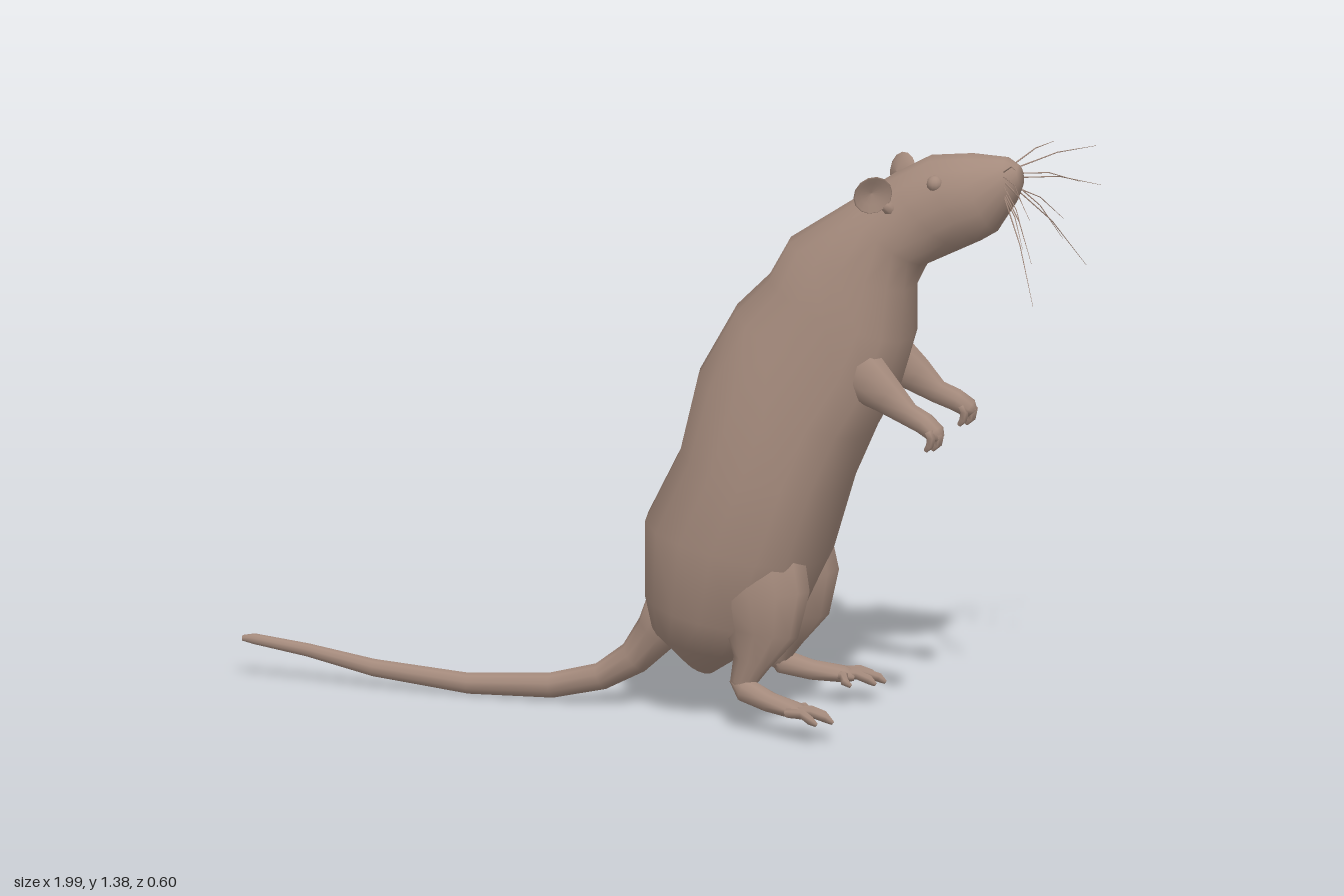
import * as THREE from 'three';

const V = (x, y, z) => new THREE.Vector3(x, y, z);

// Skin a series of rings { c: centre, a, b: half axes, q: below 1 squares the far side } with closed ends
function loft(rings, n) {
  const pos = [], idx = [];
  for (const { c, a, b, q = 1 } of rings) {
    for (let j = 0; j < n; j++) {
      const t = (j / n) * Math.PI * 2;
      const power = Math.cos(t) < -1e-6 ? q : 1;
      const round = v => Math.sign(v) * Math.abs(v) ** power;
      const p = c.clone().addScaledVector(a, round(Math.cos(t))).addScaledVector(b, round(Math.sin(t)));
      pos.push(p.x, p.y, p.z);
    }
  }
  const last = rings.length - 1;
  for (let i = 0; i < last; i++) {
    for (let j = 0; j < n; j++) {
      const k = (j + 1) % n, p = i * n, r = p + n;
      idx.push(p + j, p + k, r + j, p + k, r + k, r + j);
    }
  }
  const start = rings.length * n, end = start + 1;
  pos.push(...rings[0].c.toArray(), ...rings[last].c.toArray());
  for (let j = 0; j < n; j++) {
    const k = (j + 1) % n;
    idx.push(start, k, j, end, last * n + j, last * n + k);
  }
  const g = new THREE.BufferGeometry();
  g.setAttribute('position', new THREE.Float32BufferAttribute(pos, 3));
  g.setIndex(idx);
  g.computeVertexNormals();
  return g;
}

// Tapered limb through points [x, y, z, radius, sideways radius]; s mirrors it in z
function limb(points, s = 1, n = 10) {
  const c = points.map(p => V(p[0], p[1], p[2] * s));
  return loft(points.map((p, i) => {
    const t = c[Math.min(i + 1, c.length - 1)].clone().sub(c[Math.max(i - 1, 0)]).normalize();
    const b = V(0, 0, 1).addScaledVector(t, -t.z).normalize();
    const a = b.clone().cross(t);
    return { c: c[i], a: a.multiplyScalar(p[3]), b: b.multiplyScalar(p[4] ?? p[3]) };
  }), n);
}

export function createModel() {
  const root = new THREE.Group();
  const fur = new THREE.MeshStandardMaterial({ color: 0xa48a7c });
  fur.name = 'brownFur';
  const add = (name, geometry) => {
    const m = new THREE.Mesh(geometry, fur);
    m.name = name;
    root.add(m);
    return m;
  };

  // Body and head: back point, belly point, half width and belly squareness from rump to nose
  const sections = [
    [0.07, 0.14, 0.14, 0.098, 0.05],
    [0.00, 0.21, 0.22, 0.15, 0.125],
    [-0.015, 0.29, 0.34, 0.225, 0.185, 0.85],
    [-0.015, 0.47, 0.415, 0.39, 0.21, 0.75],
    [0.07, 0.64, 0.47, 0.57, 0.205, 0.8],
    [0.11, 0.82, 0.53, 0.70, 0.185, 0.8],
    [0.20, 0.98, 0.585, 0.80, 0.165, 0.75],
    [0.28, 1.06, 0.625, 0.93, 0.148, 0.8],
    [0.33, 1.15, 0.63, 1.05, 0.13, 0.9],
    [0.48, 1.25, 0.66, 1.11, 0.105],
    [0.58, 1.32, 0.75, 1.155, 0.097],
    [0.67, 1.37, 0.79, 1.175, 0.093],
    [0.76, 1.38, 0.83, 1.20, 0.08],
    [0.85, 1.377, 0.875, 1.27, 0.05],
    [0.88, 1.36, 0.89, 1.31, 0.025],
  ];
  add('bodyAndHead', loft(sections.map(([bx, by, fx, fy, w, q]) => ({
    c: V((bx + fx) / 2, (by + fy) / 2, 0),
    a: V((bx - fx) / 2, (by - fy) / 2, 0),
    b: V(0, 0, w),
    q,
  })), 16));

  // Tail
  add('tail', limb([
    [0.06, 0.27, 0, 0.075], [0.005, 0.185, 0, 0.052, 0.045], [-0.05, 0.12, 0, 0.04, 0.035],
    [-0.13, 0.07, 0, 0.032], [-0.25, 0.04, 0, 0.03], [-0.45, 0.03, 0, 0.025],
    [-0.68, 0.05, -0.002, 0.021], [-0.84, 0.08, -0.004, 0.016],
    [-0.97, 0.097, -0.005, 0.013], [-0.998, 0.097, -0.005, 0.007],
  ]));

  for (const s of [1, -1]) {
    const side = s > 0 ? 'Left' : 'Right';
    const both = (name, points, n) => add(name + side, limb(points, s, n));

    // Hind leg, foot and toes
    both('hindLeg', [
      [0.25, 0.52, 0.09, 0.08, 0.05], [0.27, 0.41, 0.105, 0.125, 0.075], [0.29, 0.32, 0.115, 0.122, 0.08],
      [0.295, 0.235, 0.122, 0.09, 0.06], [0.275, 0.165, 0.133, 0.045, 0.036],
      [0.255, 0.115, 0.138, 0.03, 0.026], [0.255, 0.09, 0.14, 0.015, 0.015],
    ], 12);
    both('hindFoot', [
      [0.235, 0.125, 0.135, 0.015], [0.265, 0.1, 0.145, 0.03, 0.027],
      [0.33, 0.08, 0.165, 0.024, 0.028], [0.40, 0.07, 0.187, 0.018, 0.036], [0.425, 0.066, 0.193, 0.01, 0.03],
    ]);
    for (const [x, z] of [[0.43, 0.145], [0.48, 0.178], [0.495, 0.207], [0.465, 0.238]]) {
      const z0 = 0.19 + (z - 0.19) * 0.5;
      both('toe', [
        [0.385, 0.07, z0, 0.011], [(0.39 + x) / 2, 0.072, (z0 + z) / 2, 0.012],
        [x - 0.015, 0.062, z, 0.011], [x, 0.052, z, 0.005],
      ], 6);
    }

    // Foreleg, paw and fingers
    both('foreLeg', [
      [0.43, 0.95, 0.075, 0.05, 0.035], [0.50, 0.885, 0.092, 0.072, 0.042],
      [0.555, 0.845, 0.105, 0.06, 0.038], [0.60, 0.815, 0.112, 0.045, 0.034], [0.65, 0.777, 0.115, 0.029, 0.024],
      [0.69, 0.76, 0.122, 0.027, 0.027], [0.72, 0.74, 0.13, 0.022, 0.03], [0.73, 0.728, 0.13, 0.012, 0.02],
    ]);
    for (const [i, z] of [0.108, 0.124, 0.14, 0.155].entries()) {
      const x = 0.735 - Math.abs(i - 1.5) * 0.012;
      both('finger', [
        [0.71, 0.75, z, 0.011], [x, 0.735, z, 0.011], [x - 0.004, 0.715, z, 0.009], [x - 0.014, 0.703, z, 0.005],
      ], 6);
    }

    // Cupped ear joined to the head at its lower front edge
    const cup = [[0, -0.012], [0.03, -0.006], [0.047, 0.008], [0.044, 0.011], [0.028, 0.002], [0, -0.003]];
    const ear = add('ear' + side, new THREE.LatheGeometry(cup.map(p => new THREE.Vector2(...p)), 14));
    ear.position.set(0.56, 1.295, 0.112 * s);
    ear.quaternion.setFromUnitVectors(V(0, 1, 0), V(0.55, -0.2, 0.81 * s).normalize());
    both('earStalk', [[0.60, 1.245, 0.07, 0.022], [0.583, 1.268, 0.092, 0.012]], 8);

    // Eye
    const eye = add('eye' + side, new THREE.SphereGeometry(0.019, 12, 8));
    eye.position.set(0.70, 1.32, 0.073 * s);

    // Whiskers: root height and tip, drooping along the way
    const tips = [
      [1.34, 0.98, 1.345, 0.295], [1.32, 0.99, 1.25, 0.30], [1.30, 0.98, 1.08, 0.21],
      [1.35, 0.92, 1.385, 0.15], [1.31, 0.95, 1.16, 0.125], [1.33, 0.97, 1.28, 0.20],
      [1.30, 0.94, 1.20, 0.16],
    ];
    for (const [y, tx, ty, tz] of tips) {
      const my = (y + ty) / 2 + 0.012;
      add('whisker' + side, limb([
        [0.855, y, 0.038, 0.0018], [(0.865 + tx) / 2, my, (0.04 + tz) / 2, 0.0013], [tx, ty, tz, 0.0004],
      ], s, 4));
    }
  }
  return root;
}
